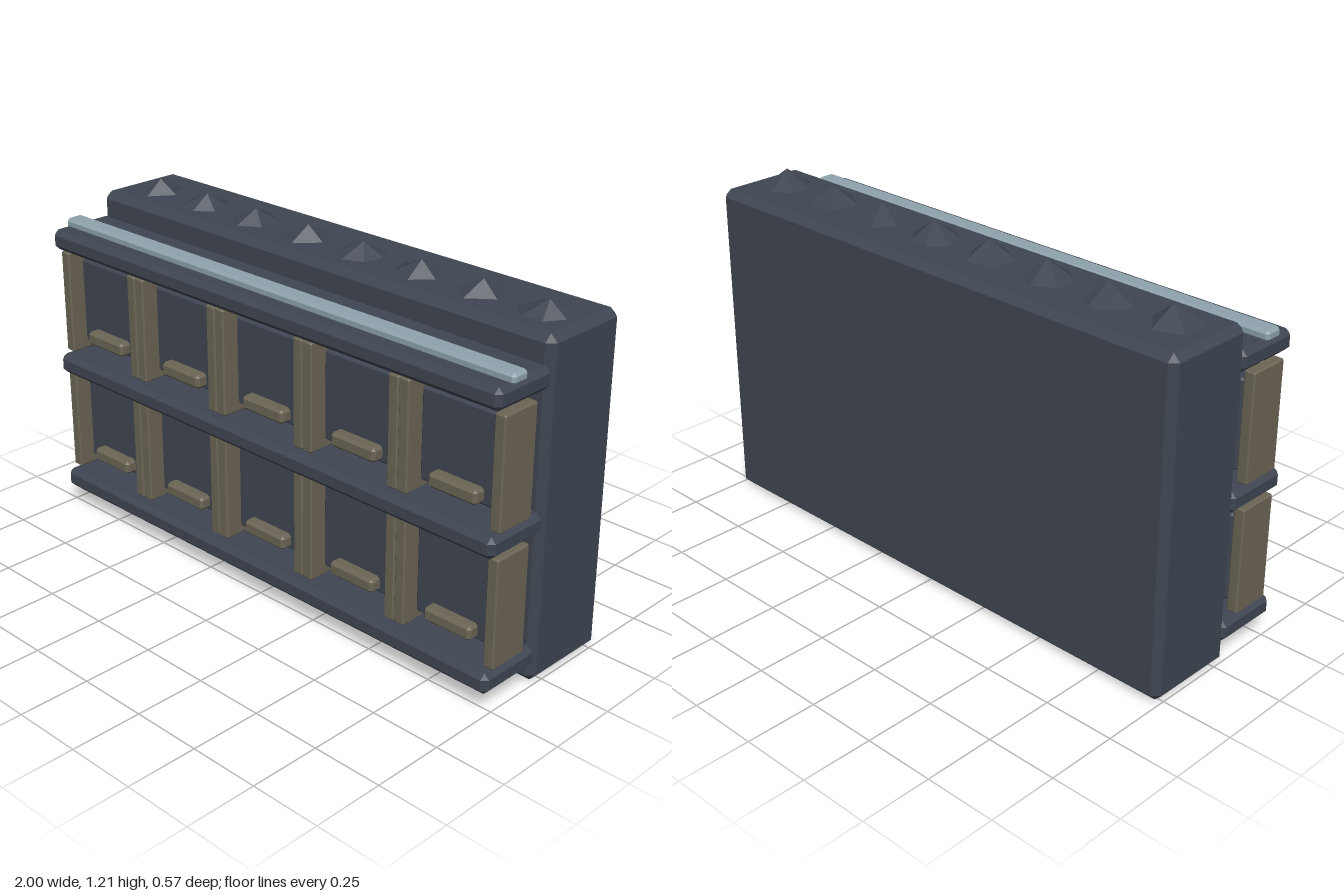
import * as THREE from 'three';
import { ConvexGeometry } from 'three/addons/geometries/ConvexGeometry.js';

const flat = (name, color) => {
  const m = new THREE.MeshStandardMaterial({ color });
  m.name = name;
  return m;
};

// Box with every edge cut at 45 degrees, given by its min and max on each axis
function chamferBox([x0, x1], [y0, y1], [z0, z1], c) {
  const h = [(x1 - x0) / 2, (y1 - y0) / 2, (z1 - z0) / 2];
  const pts = [];
  for (const sx of [-1, 1]) for (const sy of [-1, 1]) for (const sz of [-1, 1])
    for (let a = 0; a < 3; a++) {
      const p = h.map((v, i) => (i === a ? v : v - c));
      pts.push(new THREE.Vector3(sx * p[0], sy * p[1], sz * p[2]));
    }
  return new ConvexGeometry(pts).translate((x0 + x1) / 2, (y0 + y1) / 2, (z0 + z1) / 2);
}

export function createModel() {
  const model = new THREE.Group();
  model.name = 'drawerWall';
  const slate = flat('slate', 0x3f4652);
  const bronze = flat('agedBronze', 0x6b6555);
  const steel = flat('paleSteel', 0x8fa3ad);

  const add = (name, geometry, material) => {
    const mesh = new THREE.Mesh(geometry, material);
    mesh.name = name;
    model.add(mesh);
    return mesh;
  };

  // Solid wall behind the cells
  add('wall', chamferBox([-0.999, 0.999], [0, 1.16], [-0.285, 0.053], 0.025), slate);

  // Shelves above, between and below the two rows
  for (const y of [0.065, 0.527, 0.997])
    add('shelf', chamferBox([-1, 1], [y, y + 0.073], [0.036, 0.285], 0.018), slate);

  // Rail along the top shelf
  add('rail', chamferBox([-0.999, 0.999], [1.06, 1.097], [0.153, 0.22], 0.01), steel);

  // Two rows of five cells: side posts, drawer front and handle
  for (const y of [0.145, 0.606]) {
    for (let i = 0; i < 5; i++) {
      const x = (i - 2) * 0.4;
      for (const s of [-1, 1]) {
        const px = x + s * 0.179;
        add('post', chamferBox([px - 0.02, px + 0.02], [y, y + 0.376], [0.102, 0.25], 0.005), bronze);
      }
      add('drawer', chamferBox([x - 0.157, x + 0.157], [y + 0.034, y + 0.344], [0.104, 0.195], 0.008), slate);
      add('handle', chamferBox([x - 0.093, x + 0.093], [y + 0.045, y + 0.095], [0.185, 0.235], 0.01), bronze);
    }
  }

  // Row of low faceted studs with off-centre peaks
  for (let i = 0; i < 8; i++) {
    const sides = 5 + (i * 2) % 3;
    const ring = [new THREE.Vector3(0.03, 0.055, 0.02)];
    for (let k = 0; k < sides; k++) {
      const a = (k / sides) * Math.PI * 2 + i * 1.3;
      ring.push(new THREE.Vector3(Math.cos(a) * 0.098, -0.003, Math.sin(a) * 0.098));
    }
    add('stud', new ConvexGeometry(ring), slate).position.set(-0.86 + i * 0.245, 1.156, -0.1);
  }

  return model;
}
